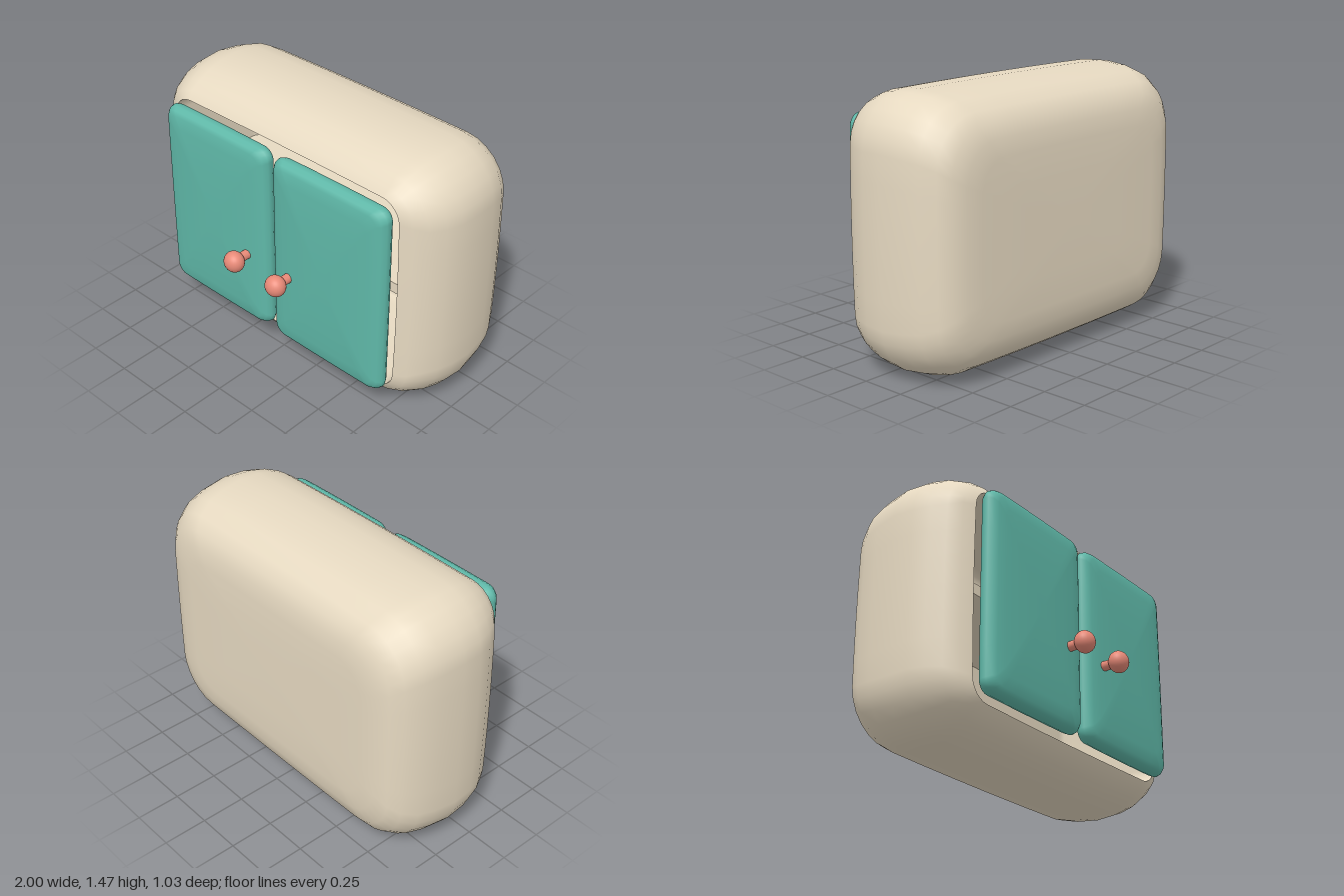
import * as THREE from 'three';
import { mergeVertices } from 'three/addons/utils/BufferGeometryUtils.js';

const CORNER = 6, EDGE = 6;

// Outline of a rounded rectangle, counter-clockwise, with subdivided straight sides
function outline(hx, hy, r) {
  const pts = [];
  const signs = [[1, 1], [-1, 1], [-1, -1], [1, -1]];
  signs.forEach(([sx, sy], q) => {
    for (let k = 0; k <= CORNER; k++) {
      const a = (q + k / CORNER) * Math.PI / 2;
      pts.push([sx * (hx - r) + r * Math.cos(a), sy * (hy - r) + r * Math.sin(a)]);
    }
    const [x, y] = pts[pts.length - 1];
    const [nx, ny] = signs[(q + 1) % 4];
    const a = (q + 1) * Math.PI / 2;
    const ex = nx * (hx - r) + r * Math.cos(a), ey = ny * (hy - r) + r * Math.sin(a);
    for (let k = 1; k < EDGE; k++) {
      pts.push([x + (ex - x) * k / EDGE, y + (ey - y) * k / EDGE]);
    }
  });
  return pts;
}

// Skin over rows of [halfWidth, halfHeight, cornerRadius, z]; sides bow out by "bulge"
function skin(rows, bulge, refX, refY) {
  const pos = [], index = [];
  const n = 4 * (CORNER + EDGE);
  for (const [hx, hy, r, z] of rows) {
    for (const [x, y] of outline(hx, hy, r)) {
      pos.push(x * (1 - bulge * (y / refY) ** 2), y * (1 - bulge * (x / refX) ** 2), z);
    }
  }
  for (let i = 0; i < rows.length - 1; i++) {
    for (let j = 0; j < n; j++) {
      const a = i * n + j, b = i * n + (j + 1) % n;
      index.push(a, b, b + n, a, b + n, a + n);
    }
  }
  const geo = new THREE.BufferGeometry();
  geo.setAttribute('position', new THREE.Float32BufferAttribute(pos, 3));
  geo.setIndex(index);
  const merged = mergeVertices(geo, 1e-5);
  merged.computeVertexNormals();
  return merged;
}

export function createModel() {
  const group = new THREE.Group();
  const cream = new THREE.MeshStandardMaterial({ color: 0xe6d9c1 });
  const teal = new THREE.MeshStandardMaterial({ color: 0x5fb8a8 });
  const coral = new THREE.MeshStandardMaterial({ color: 0xe88a78 });

  function add(name, geo, mat, x, y, z, parent = group) {
    const mesh = new THREE.Mesh(geo, mat);
    mesh.name = name;
    mesh.position.set(x, y, z);
    parent.add(mesh);
    return mesh;
  }

  // Soft outer shell, from the middle of the back to the front rim
  const midY = 0.7325;
  const rim = [0.8, 0.588, 0.11, 0.255];
  add('cabinetShell', skin([
    [0, 0, 0, -0.517], [0.4, 0.25, 0.1, -0.516], [0.68, 0.42, 0.15, -0.512],
    [0.78, 0.51, 0.2, -0.502], [0.86, 0.585, 0.23, -0.478], [0.915, 0.645, 0.25, -0.43],
    [0.96, 0.695, 0.27, -0.35], [0.985, 0.72, 0.28, -0.25], [1, midY, 0.28, -0.12],
    [0.992, 0.727, 0.28, 0], [0.965, 0.708, 0.26, 0.09], [0.92, 0.672, 0.22, 0.17],
    [0.865, 0.63, 0.16, 0.225], rim,
  ], 0.018, 1, midY), cream, 0, midY, 0);

  // Hollow inside, from the rim to its back wall
  add('cabinetInterior', skin([
    rim, [0.8, 0.588, 0.11, 0.1], [0.8, 0.588, 0.11, -0.31], [0.78, 0.568, 0.1, -0.35],
    [0.74, 0.53, 0.08, -0.36], [0, 0, 0, -0.36],
  ], 0.018, 1, midY), cream, 0, midY, 0);

  add('shelf', new THREE.BoxGeometry(1.59, 0.06, 0.56), cream, 0, 0.77, -0.08);

  // Cushion-shaped doors with round knobs
  const doorGeo = skin([
    [0, 0, 0, -0.068], [0.2, 0.35, 0.04, -0.067], [0.3, 0.5, 0.04, -0.064],
    [0.345, 0.535, 0.05, -0.054], [0.372, 0.555, 0.06, -0.036], [0.385, 0.565, 0.065, -0.012],
    [0.38, 0.562, 0.065, 0.012], [0.362, 0.548, 0.06, 0.035], [0.335, 0.525, 0.05, 0.047],
    [0.28, 0.46, 0.04, 0.055], [0.18, 0.3, 0.03, 0.063], [0, 0, 0, 0.068],
  ], 0.006, 0.385, 0.565);
  const stemGeo = new THREE.CylinderGeometry(0.027, 0.027, 0.11, 20).rotateX(Math.PI / 2);
  const knobGeo = new THREE.SphereGeometry(0.06, 28, 20).scale(1, 1, 0.9);

  for (const [side, s] of [['left', 1], ['right', -1]]) {
    const door = new THREE.Group();
    door.name = side + 'Door';
    group.add(door);
    add(side + 'DoorPanel', doorGeo, teal, s * 0.4, 0.735, 0.31, door);
    add(side + 'KnobStem', stemGeo, coral, s * 0.155, 0.62, 0.375, door);
    add(side + 'Knob', knobGeo, coral, s * 0.155, 0.62, 0.461, door);
  }
  return group;
}
